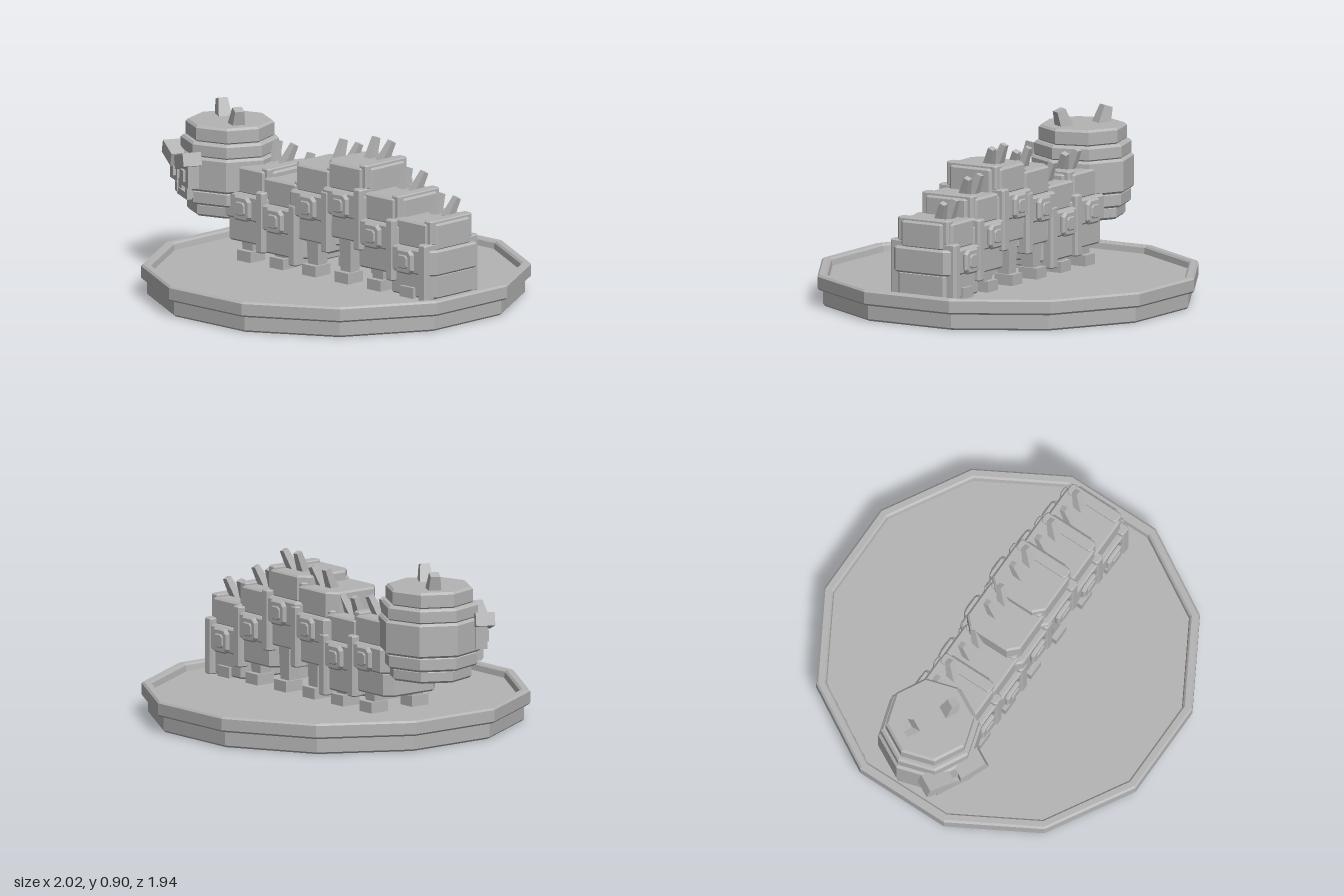
import * as THREE from 'three';

const stone = new THREE.MeshStandardMaterial({ color: 0xb4b4b4, flatShading: true });
stone.name = 'grey stone';

function add(parent, name, geometry, x = 0, y = 0, z = 0) {
  const mesh = new THREE.Mesh(geometry, stone);
  mesh.name = name;
  mesh.position.set(x, y, z);
  parent.add(mesh);
  return mesh;
}

// Extruded rectangle with cut corners and a small bevelled edge, standing on y = 0
function slab(hx, hz, cut, height, bevel = 0.01) {
  const a = hx - bevel, b = hz - bevel;
  const pts = [[a, b - cut], [a - cut, b], [cut - a, b], [-a, b - cut],
    [-a, cut - b], [cut - a, -b], [a - cut, -b], [a, cut - b]];
  const shape = new THREE.Shape(pts.map(([x, y]) => new THREE.Vector2(x, y)));
  const g = new THREE.ExtrudeGeometry(shape, {
    depth: height - 2 * bevel, bevelEnabled: true, bevelSegments: 1,
    bevelSize: bevel, bevelThickness: bevel,
  });
  return g.translate(0, 0, bevel).rotateX(-Math.PI / 2);
}

// Four-sided tapering spike standing on y = 0
function spike(bottom, top, height) {
  const k = Math.SQRT1_2;
  return new THREE.CylinderGeometry(top * k, bottom * k, height, 4)
    .rotateY(Math.PI / 4).translate(0, height / 2, 0);
}

// Twelve-sided plinth with a raised rim
function addBase(parent) {
  const k = 1 / Math.cos(Math.PI / 12);
  const profile = [[0, 0], [0.93, 0], [0.94, 0.01], [0.94, 0.085], [0.96, 0.085],
    [0.97, 0.095], [0.97, 0.155], [0.96, 0.165], [0.93, 0.165], [0.92, 0.155],
    [0.915, 0.125], [0, 0.125]];
  const g = new THREE.LatheGeometry(
    profile.map(([r, y]) => new THREE.Vector2(r * k, y)), 12, Math.PI / 12);
  add(parent, 'base', g, 0.03);
}

// One body block: stacked slabs, collar, side studs, spikes and legs
function addSegment(parent, x, y, index) {
  const seg = new THREE.Group();
  seg.name = 'bodySegment' + (index + 1);
  seg.position.set(x, y, -0.005);
  parent.add(seg);

  const low = Math.max(-0.19, 0.12 - y);
  add(seg, 'lowerBody', slab(0.16, 0.172, 0.035, -0.06 - low), 0, low);
  add(seg, 'middleBody', slab(0.175, 0.195, 0.045, 0.135), 0, -0.065);
  add(seg, 'upperBody', slab(0.158, 0.165, 0.045, 0.14), 0, 0.065);

  // Collar plate at the joint with the next block
  const bottom = Math.max(-0.22, 0.125 - y);
  add(seg, 'collarLower', slab(0.03, 0.2, 0.008, 0.1 - bottom, 0.006), 0.115, bottom);
  add(seg, 'collarUpper', slab(0.03, 0.155, 0.008, 0.125, 0.006), 0.115, 0.095);

  for (const side of [1, -1]) {
    const plate = add(seg, 'sideStud', slab(0.065, 0.065, 0.018, 0.03), 0, 0, side * 0.19);
    plate.rotation.x = side * Math.PI / 2;
    const cap = add(seg, 'studCap', slab(0.036, 0.036, 0.01, 0.012, 0.005), 0, 0, side * 0.215);
    cap.rotation.x = side * Math.PI / 2;
    // Leg and foot
    const top = y - 0.12;
    add(seg, 'leg', spike(0.065, 0.085, top - 0.12), 0, 0.12 - y, side * 0.125);
    add(seg, 'foot', new THREE.BoxGeometry(0.095, 0.06, 0.11), 0, 0.152 - y, side * 0.135);
  }
  for (const [sx, lean] of [[-0.025, 0], [0.055, -0.25]]) {
    const s = add(seg, 'backSpike', spike(0.052, 0.032, 0.135), sx, 0.18, -0.045);
    s.rotation.set(-0.38, 0, lean);
  }
}

// Octagonal layered head turned towards the front right
function addHead(parent) {
  const head = new THREE.Group();
  head.name = 'head';
  head.position.set(-0.71, 0, 0.017);
  head.rotation.y = -Math.PI * 28 / 180;
  parent.add(head);

  const layers = [[0.33, 0.4, 0.205], [0.395, 0.475, 0.232], [0.47, 0.65, 0.247],
    [0.645, 0.725, 0.235], [0.72, 0.808, 0.212]];
  for (const [y0, y1, r] of layers) {
    add(head, 'headLayer', slab(r, r, (r - 0.01) * 0.586, y1 - y0, 0.012), 0, y0);
  }
  for (const side of [1, -1]) {
    const brow = add(head, 'brow', new THREE.BoxGeometry(0.15, 0.07, 0.1), side * 0.1, 0.63, 0.26);
    brow.rotation.z = side * 0.3;
    add(head, 'eyeSocket', new THREE.BoxGeometry(0.115, 0.12, 0.06), side * 0.09, 0.55, 0.245);
    add(head, 'eye', new THREE.BoxGeometry(0.055, 0.06, 0.03), side * 0.08, 0.55, 0.275);
    add(head, 'mouthCorner', new THREE.BoxGeometry(0.035, 0.05, 0.04), side * 0.08, 0.455, 0.245);
    const horn = add(head, 'horn', spike(0.075, 0.05, 0.11), side * 0.105, 0.785, 0);
    horn.rotation.z = -side * 0.32;
  }
  add(head, 'mouth', new THREE.BoxGeometry(0.16, 0.035, 0.04), 0, 0.435, 0.24);
  add(head, 'nose', new THREE.BoxGeometry(0.05, 0.05, 0.05), 0, 0.49, 0.245);
}

export function createModel() {
  const model = new THREE.Group();
  model.name = 'blockCaterpillar';
  addBase(model);
  addHead(model);
  const heights = [0.41, 0.38, 0.49, 0.54, 0.417, 0.32];
  heights.forEach((y, i) => addSegment(model, -0.45 + i * 0.232, y, i));
  return model;
}
